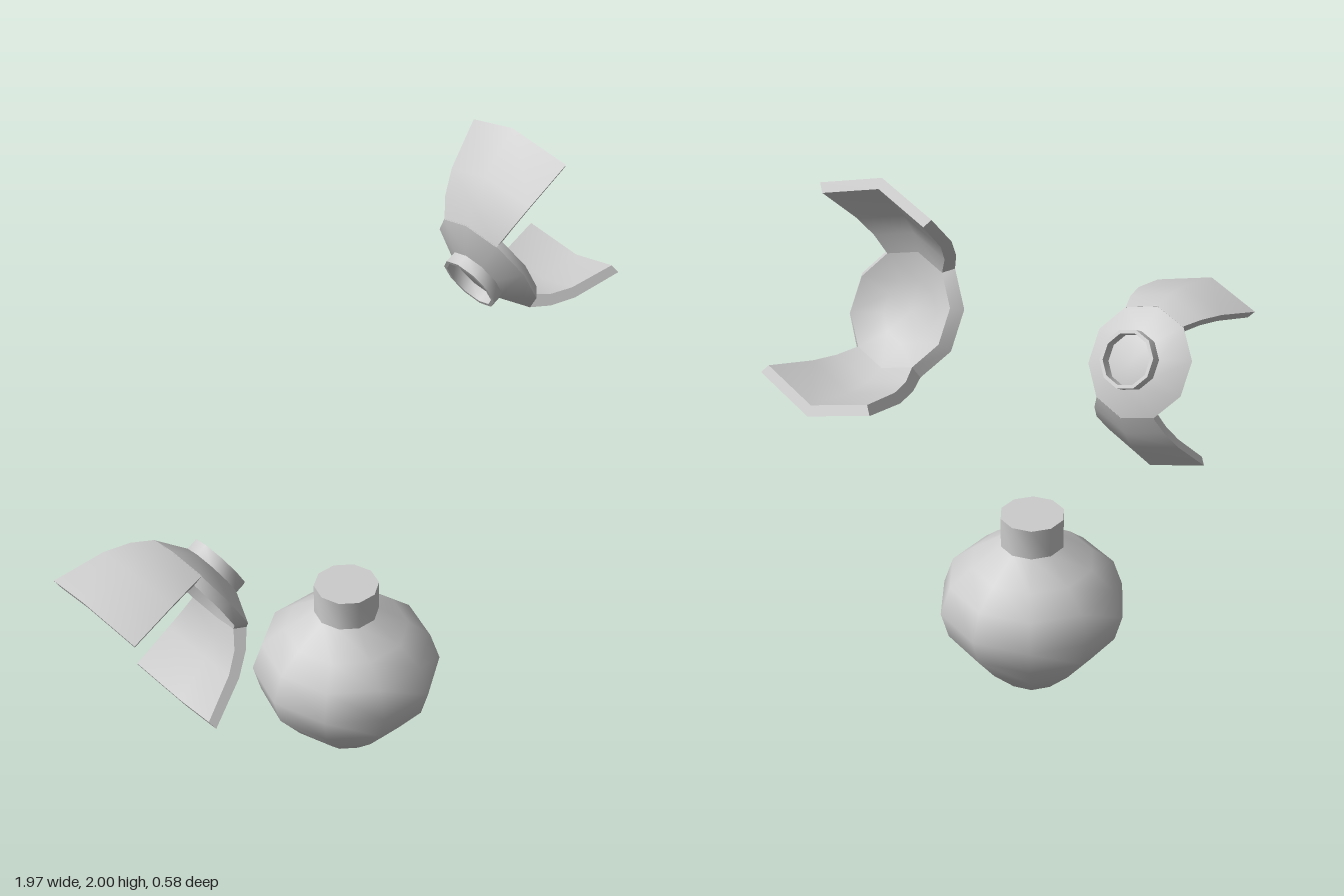
import * as THREE from 'three';
import { toCreasedNormals } from 'three/addons/utils/BufferGeometryUtils.js';

const SIDES = 10;
const STEP = (Math.PI * 2) / SIDES;
const CREASE = THREE.MathUtils.degToRad(50);
const grey = new THREE.MeshStandardMaterial({ color: 0xcccccc });
const greyDouble = new THREE.MeshStandardMaterial({ color: 0xcccccc, side: THREE.DoubleSide });

const toPoints = (list) => list.map(([r, y]) => new THREE.Vector2(r, y));

// Turned part whose corners line up with the x axis
function turned(name, profile, segments = SIDES, start = Math.PI / 2, length = Math.PI * 2) {
  const lathe = new THREE.LatheGeometry(toPoints(profile), segments, start, length);
  const mesh = new THREE.Mesh(toCreasedNormals(lathe, CREASE), grey);
  mesh.name = name;
  return mesh;
}

// Two-facet curved arm cut from the same bowl as the dish, closed on both sides
function createArm(angle) {
  const arm = new THREE.Group();
  arm.name = 'clawArm';
  const profile = [[0.192, -0.124], [0.24, -0.07], [0.282, 0.005], [0.333, 0.162],
    [0.302, 0.162], [0.253, 0.02], [0.215, -0.045], [0.168, -0.091]];
  arm.add(turned('armShell', [...profile, profile[0]], 2, Math.PI / 2 - STEP, 2 * STEP));
  for (const side of [-1, 1]) {
    const cap = new THREE.Mesh(new THREE.ShapeGeometry(new THREE.Shape(toPoints(profile))), greyDouble);
    cap.name = 'armSide';
    cap.rotation.y = side * STEP;
    arm.add(cap);
  }
  arm.rotation.y = angle;
  return arm;
}

// Claw opening along its own +y: dish, socket ring behind it and two arms
function createClaw(name) {
  const claw = new THREE.Group();
  claw.name = name;
  claw.add(turned('dish', [[0, -0.172], [0.1, -0.172], [0.194, -0.122],
    [0.168, -0.091], [0.09, -0.14], [0, -0.14]]));
  claw.add(turned('socketRing', [[0.088, -0.172], [0.088, -0.21], [0.1, -0.21], [0.1, -0.165]]));
  claw.add(createArm(0), createArm(Math.PI));
  return claw;
}

export function createModel() {
  const model = new THREE.Group();
  model.name = 'flaskWithClaws';

  // Round flask with a short neck
  model.add(turned('flask', [[0, 0], [0.1, 0], [0.2, 0.1], [0.28, 0.2], [0.305, 0.29],
    [0.273, 0.385], [0.2, 0.447], [0.104, 0.512], [0.104, 0.615], [0, 0.615]]));

  // Floating claws, half a turn apart
  const upper = createClaw('leftClaw');
  upper.position.set(0.677, 1.628, 0);
  upper.rotation.z = -Math.PI / 3;
  const lower = createClaw('rightClaw');
  lower.position.set(-0.677, 0.852, 0);
  lower.rotation.z = (Math.PI * 2) / 3;
  model.add(upper, lower);
  return model;
}
